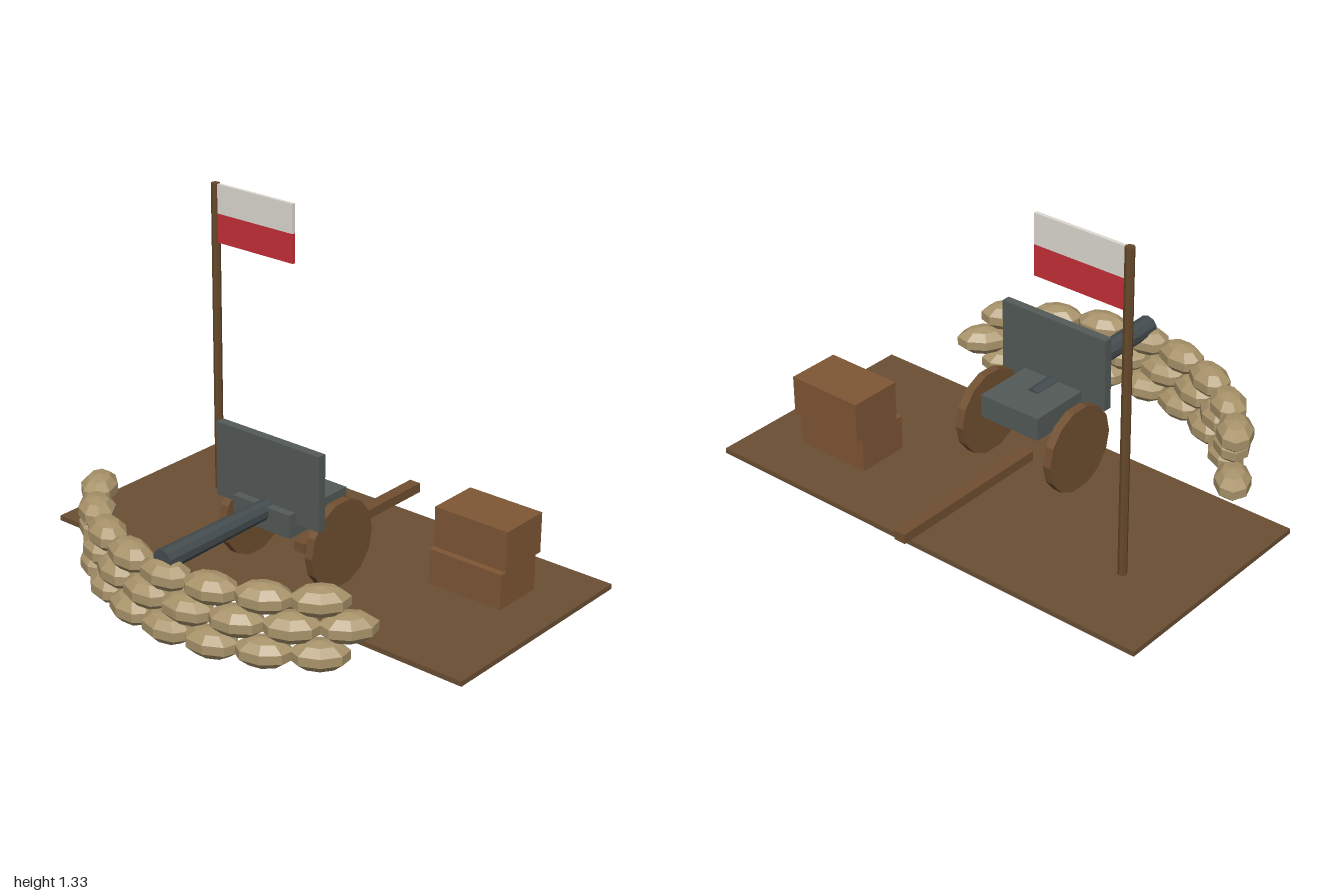
import * as THREE from 'three';

const mat = (name, color) => {
  const m = new THREE.MeshStandardMaterial({ color, flatShading: true });
  m.name = name;
  return m;
};

export function createModel() {
  const earth = mat('earth brown', 0x6b4f34);
  const burlap = mat('burlap tan', 0xa8936a);
  const steel = mat('shield grey', 0x535a57);
  const gunmetal = mat('barrel grey', 0x444c4f);
  const wood = mat('carriage wood', 0x704f30);
  const crateWood = mat('crate wood', 0x7e5635);
  const poleWood = mat('pole wood', 0x644829);
  const white = mat('flag white', 0xdedad2);
  const red = mat('flag red', 0xc62f38);

  const model = new THREE.Group();
  model.name = 'gunEmplacement';

  const add = (parent, name, geometry, material, x, y, z) => {
    const mesh = new THREE.Mesh(geometry, material);
    mesh.name = name;
    mesh.position.set(x, y, z);
    parent.add(mesh);
    return mesh;
  };
  // Box given by its min and max on each axis
  const box = (parent, name, material, x0, x1, y0, y1, z0, z1) =>
    add(parent, name, new THREE.BoxGeometry(x1 - x0, y1 - y0, z1 - z0), material,
      (x0 + x1) / 2, (y0 + y1) / 2, (z0 + z1) / 2);
  const group = (name) => {
    const g = new THREE.Group();
    g.name = name;
    model.add(g);
    return g;
  };

  // Ground slab
  box(model, 'ground', earth, -1, 1, 0.004, 0.025, -0.68, 0.267);

  // Curved wall: three courses of bags, the middle one shifted by half a bag
  const wall = group('sandbagWall');
  const bagGeometry = new THREE.SphereGeometry(1, 8, 5);
  bagGeometry.scale(0.115, 0.058, 0.075);
  const radius = 0.845, centreZ = -0.15, step = THREE.MathUtils.degToRad(13.5);
  for (let row = 0; row < 3; row++) {
    for (let i = 0; i < 8; i++) {
      const a = (i - 4 + (row % 2) * 0.5) * step;
      const bag = add(wall, 'sandbag', bagGeometry, burlap,
        radius * Math.sin(a), 0.0625 + row * 0.108, centreZ + radius * Math.cos(a));
      bag.rotation.y = a;
    }
  }

  // Field gun
  const gun = group('fieldGun');
  box(gun, 'cradle', steel, -0.138, 0.138, 0.26, 0.355, -0.15, 0.18);
  box(gun, 'shield', steel, -0.25, 0.25, 0.31, 0.613, 0.11, 0.146);
  box(gun, 'trail', wood, -0.025, 0.025, 0.075, 0.115, -0.762, -0.04);
  const barrelGeometry = new THREE.CylinderGeometry(0.044, 0.036, 0.722, 10);
  barrelGeometry.rotateX(Math.PI / 2);
  add(gun, 'barrel', barrelGeometry, gunmetal, 0, 0.332, 0.35);
  const wheelGeometry = new THREE.CylinderGeometry(0.177, 0.177, 0.036, 14);
  wheelGeometry.rotateZ(Math.PI / 2);
  wheelGeometry.rotateX(Math.PI / 2 * (wheelGeometry.attributes.position.getZ(0) > 0.17 ? 0 : 1));
  for (const side of [-1, 1]) {
    add(gun, side > 0 ? 'leftWheel' : 'rightWheel', wheelGeometry, wood, side * 0.215, 0.196, -0.014);
  }

  // Two stacked crates, the upper one set back
  const crates = group('crates');
  box(crates, 'lowerCrate', crateWood, 0.472, 0.802, 0.025, 0.17, -0.455, -0.237);
  box(crates, 'upperCrate', crateWood, 0.472, 0.802, 0.17, 0.335, -0.485, -0.265);

  // Flag on its pole
  const flag = group('flag');
  add(flag, 'flagPole', new THREE.CylinderGeometry(0.018, 0.018, 1.31, 8), poleWood, -0.694, 0.68, -0.347);
  box(flag, 'upperBand', white, -0.68, -0.292, 1.214, 1.334, -0.354, -0.34);
  box(flag, 'lowerBand', red, -0.68, -0.292, 1.094, 1.214, -0.354, -0.34);

  return model;
}
